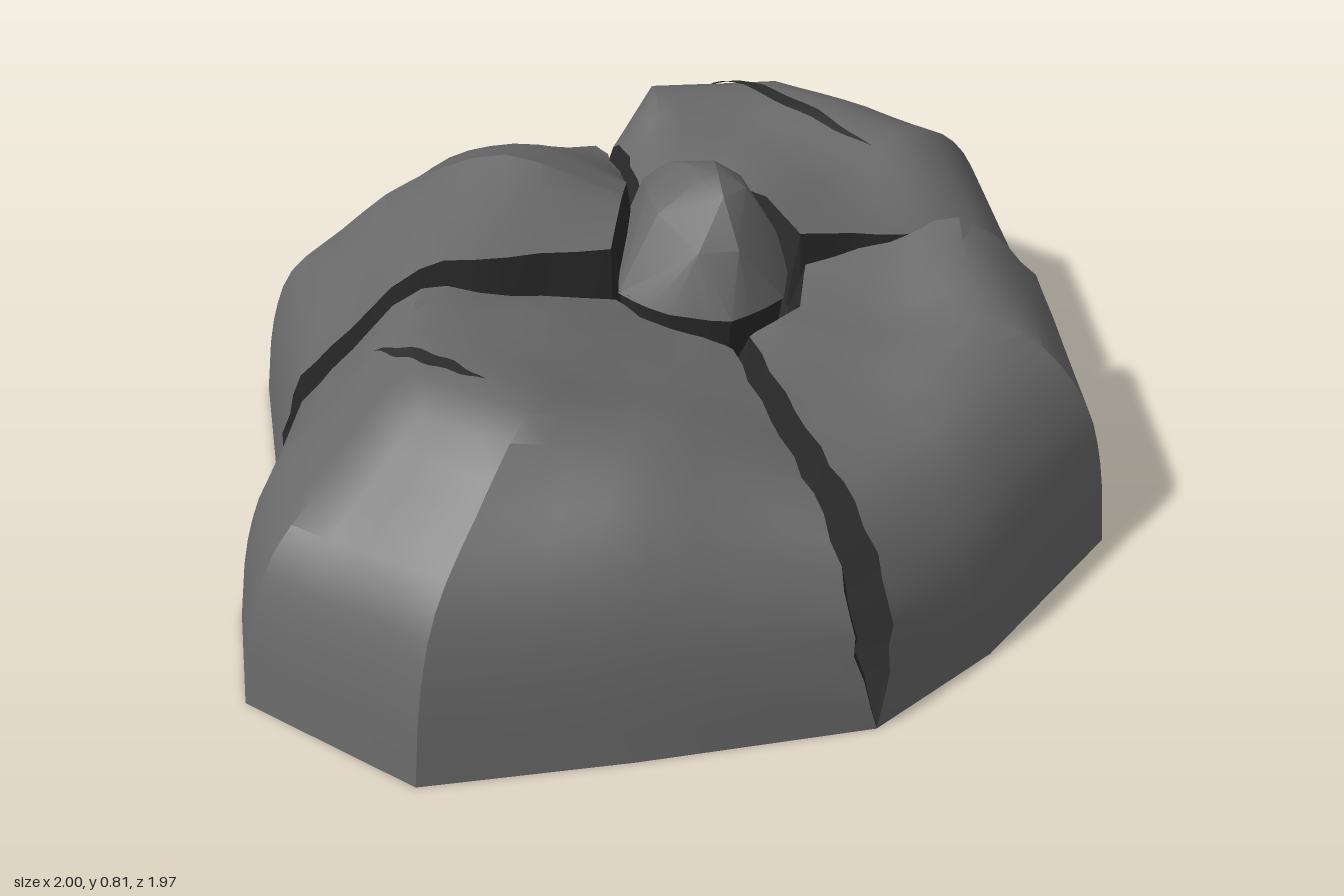
import * as THREE from 'three';
import { toCreasedNormals } from 'three/addons/utils/BufferGeometryUtils.js';
import { ConvexGeometry } from 'three/addons/geometries/ConvexGeometry.js';

const rock = new THREE.MeshStandardMaterial({ color: 0x696969 });
rock.name = 'rock grey';
const dark = new THREE.MeshStandardMaterial({ color: 0x2b2b2b, side: THREE.DoubleSide });
dark.name = 'crack grey';

const ROWS = 18;
const CX = 0.115, CZ = -0.05; // middle of the centre stone

// Each lobe: spokes [inner x, inner z, base x, base z, heights at 0, .3, .55, .75 along it, sideways bend]
const lobes = {
  frontRightLobe: [
    [-0.11, 0.06, -0.9, 0.05, 0.56, 0.62, 0.665, 0.51, 0.045],
    [-0.09, 0.11, -1, 0.38, 0.56, 0.63, 0.64, 0.49, 0],
    [-0.06, 0.15, -1, 0.67, 0.55, 0.63, 0.65, 0.5, 0],
    [0, 0.2, -0.66, 0.98, 0.55, 0.61, 0.67, 0.54, 0],
    [0.07, 0.23, -0.2, 0.98, 0.54, 0.57, 0.61, 0.53, 0],
    [0.15, 0.25, 0.32, 0.96, 0.52, 0.53, 0.51, 0.46, -0.03],
  ],
  frontLeftLobe: [
    [0.15, 0.25, 0.32, 0.96, 0.54, 0.54, 0.52, 0.47, -0.03],
    [0.23, 0.22, 0.62, 0.77, 0.55, 0.53, 0.51, 0.47, 0],
    [0.3, 0.17, 0.98, 0.43, 0.55, 0.545, 0.58, 0.52, 0],
    [0.34, 0, 1, -0.09, 0.57, 0.59, 0.635, 0.53, 0],
  ],
  backLeftLobe: [
    [0.34, 0, 1, -0.09, 0.63, 0.575, 0.55, 0.48, 0],
    [0.29, -0.18, 0.98, -0.65, 0.63, 0.59, 0.62, 0.55, 0],
    [0.25, -0.25, 0.81, -0.82, 0.61, 0.6, 0.63, 0.54, 0],
    [0.19, -0.32, 0.54, -0.99, 0.58, 0.61, 0.635, 0.56, 0],
    [0.09, -0.35, 0.12, -0.99, 0.57, 0.61, 0.65, 0.54, 0],
    [0, -0.36, -0.06, -0.78, 0.56, 0.58, 0.55, 0.47, 0],
  ],
  backRightLobe: [
    [0, -0.36, -0.06, -0.78, 0.6, 0.6, 0.56, 0.47, 0],
    [-0.03, -0.25, -0.66, -0.73, 0.66, 0.69, 0.62, 0.49, 0],
    [-0.06, -0.13, -0.91, -0.48, 0.69, 0.77, 0.67, 0.5, 0],
    [-0.11, 0.06, -0.9, 0.05, 0.67, 0.685, 0.675, 0.52, 0.045],
  ],
};

// Points down one spoke, shifted sideways by half a crack
function spokeLine([ix, iz, ox, oz, y0, y1, y2, y3, bend], gap) {
  const heights = [y0, y1, y2, y3, y3 * 0.73, y3 * 0.42, 0];
  const spread = [0.65, 0.9, 1, 1.15, 1.4, 1.3, 0];
  const len = Math.hypot(ox - ix, oz - iz);
  const px = (oz - iz) / len, pz = -(ox - ix) / len;
  const pts = [0, 0.3, 0.55, 0.75, 0.9, 0.965, 1].map((t, i) => {
    const s = bend * Math.sin(Math.PI * t) * (px + pz < 0 ? -1 : 1) + gap * spread[i];
    return new THREE.Vector3(ix + (ox - ix) * t + px * s, heights[i], iz + (oz - iz) * t + pz * s);
  });
  return new THREE.CatmullRomCurve3(pts).getPoints(ROWS);
}

// Surface over neighbouring columns of points
function skin(columns) {
  const pos = [];
  const tri = (...ps) => ps.forEach((p) => pos.push(p.x, p.y, p.z));
  for (let j = 0; j < columns.length - 1; j++) {
    const p = columns[j], q = columns[j + 1];
    for (let i = 0; i < p.length - 1; i++) {
      tri(p[i], p[i + 1], q[i + 1]);
      tri(p[i], q[i + 1], q[i]);
    }
  }
  const g = new THREE.BufferGeometry();
  g.setAttribute('position', new THREE.Float32BufferAttribute(pos, 3));
  return toCreasedNormals(g, 0.55);
}

// Columns of a lobe, with gentle dents and ragged edges
function lobeColumns(spokes) {
  const last = spokes.length - 1, steps = 4, cols = [];
  const lines = spokes.map((s, i) => spokeLine(s, i === 0 ? 0.031 : i === last ? -0.031 : 0));
  for (let j = 0; j <= last * steps; j++) {
    const k = Math.min(Math.floor(j / steps), last - 1), f = j / steps - k;
    const edge = j === 0 || j === last * steps;
    cols.push(lines[k].map((p, i) => {
      const v = p.clone().lerp(lines[k + 1][i], f);
      if (i === ROWS) return v;
      v.y += 0.005 * Math.sin(v.x * 13 + 1) * Math.sin(v.z * 11 + 2) * Math.min(1, v.y * 2);
      if (edge) {
        v.x += 0.005 * Math.sin(i * 2.4);
        v.z += 0.005 * Math.sin(i * 1.9 + 1);
      }
      return v;
    }));
  }
  return cols;
}

export function createModel() {
  const group = new THREE.Group();
  const add = (name, geometry, material) => {
    const m = new THREE.Mesh(geometry, material);
    m.name = name;
    group.add(m);
    return m;
  };

  // Four big lobes
  const names = Object.keys(lobes);
  const columns = names.map((n) => lobeColumns(lobes[n]));
  const lobeMeshes = names.map((n, i) => add(n, skin(columns[i]), rock));

  // V-shaped cracks between neighbouring lobes
  const rim = [];
  columns.forEach((cols, n) => {
    const a = cols[cols.length - 1], b = columns[(n + 1) % 4][0];
    const floor = a.map((p, i) => {
      const v = p.clone().lerp(b[i], 0.5);
      const y = Math.min(p.y, b[i].y);
      const inset = 0.1 * Math.min(1, y / 0.2) * (i / ROWS);
      v.x += (CX - v.x) * inset;
      v.z += (CZ - v.z) * inset;
      v.y = y - 0.13 * Math.min(1, y / 0.4);
      return v;
    });
    add('crack', skin([a, floor, b]), dark);
    cols.forEach((c) => rim.push(c[0]));
    rim.push(floor[0]);
  });

  // Dark hollow around the centre stone
  const inset = (p, s, y) => new THREE.Vector3(CX + (p.x - CX) * s, y, CZ + (p.z - CZ) * s);
  const ring = [...rim, rim[0]];
  add('hollow', skin(ring.map((p) => [inset(p, 0.5, 0.42), inset(p, 0.85, 0.44), p])), dark);

  // Centre stone: dark foot and faceted top, resting against the right side of the hollow
  const level = (s, y) => rim.filter((_, i) => i % 3 === 0).map((p) => {
    const v = inset(p, s, y);
    v.x -= 0.012;
    return v;
  });
  add('stoneFoot', new ConvexGeometry([...level(0.8, 0.42), ...level(0.88, 0.57)]), dark);
  const crown = [
    [-0.04, 0.65, 0.03], [-0.01, 0.73, -0.08], [0, 0.735, 0.02], [0.08, 0.79, -0.1],
    [0.14, 0.815, 0], [0.1, 0.805, 0], [0.2, 0.785, 0.02], [0.14, 0.797, 0.07], [0.16, 0.71, 0.16],
    [0.07, 0.71, 0.155], [0.27, 0.67, 0.03], [0.21, 0.75, -0.09], [0.15, 0.79, -0.1],
    [0.06, 0.735, -0.2], [0.14, 0.73, -0.19], [0.01, 0.66, -0.26],
  ].map((p) => new THREE.Vector3(...p));
  add('centreStone', toCreasedNormals(new ConvexGeometry([...level(0.89, 0.565), ...crown]), 0.45), rock);

  // Flat underside
  const outline = columns.flatMap((cols) => cols.map((c) => new THREE.Vector2(c[ROWS].x, c[ROWS].z)));
  const base = new THREE.ShapeGeometry(new THREE.Shape(outline));
  add('underside', base.rotateX(Math.PI / 2), rock);

  // Thin gashes laid over the lobes
  const ray = new THREE.Raycaster();
  const down = new THREE.Vector3(0, -1, 0);
  const drop = (x, z) => {
    ray.set(new THREE.Vector3(x, 2, z), down);
    const hit = ray.intersectObjects(lobeMeshes)[0];
    return new THREE.Vector3(x, (hit ? hit.point.y : 0.4) + 0.008, z);
  };
  for (const [x0, z0, x1, z1, w] of [
    [-0.66, 0.27, -0.44, 0.5, 0.018],
    [0.23, -0.84, 0.59, -0.39, 0.018],
    [0.58, -0.88, 0.71, -0.66, 0.015],
  ]) {
    const len = Math.hypot(x1 - x0, z1 - z0), nx = (z1 - z0) / len, nz = -(x1 - x0) / len;
    const cols = [];
    for (let i = 0; i <= 16; i++) {
      const t = i / 16, h = w * Math.sin(Math.PI * t), sway = 0.003 * Math.sin(i * 1.3);
      const x = x0 + (x1 - x0) * t + nx * sway, z = z0 + (z1 - z0) * t + nz * sway;
      cols.push([-1, 0, 1].map((s) => drop(x + nx * h * s, z + nz * h * s)));
    }
    add('gash', skin(cols), dark);
  }
  return group;
}
